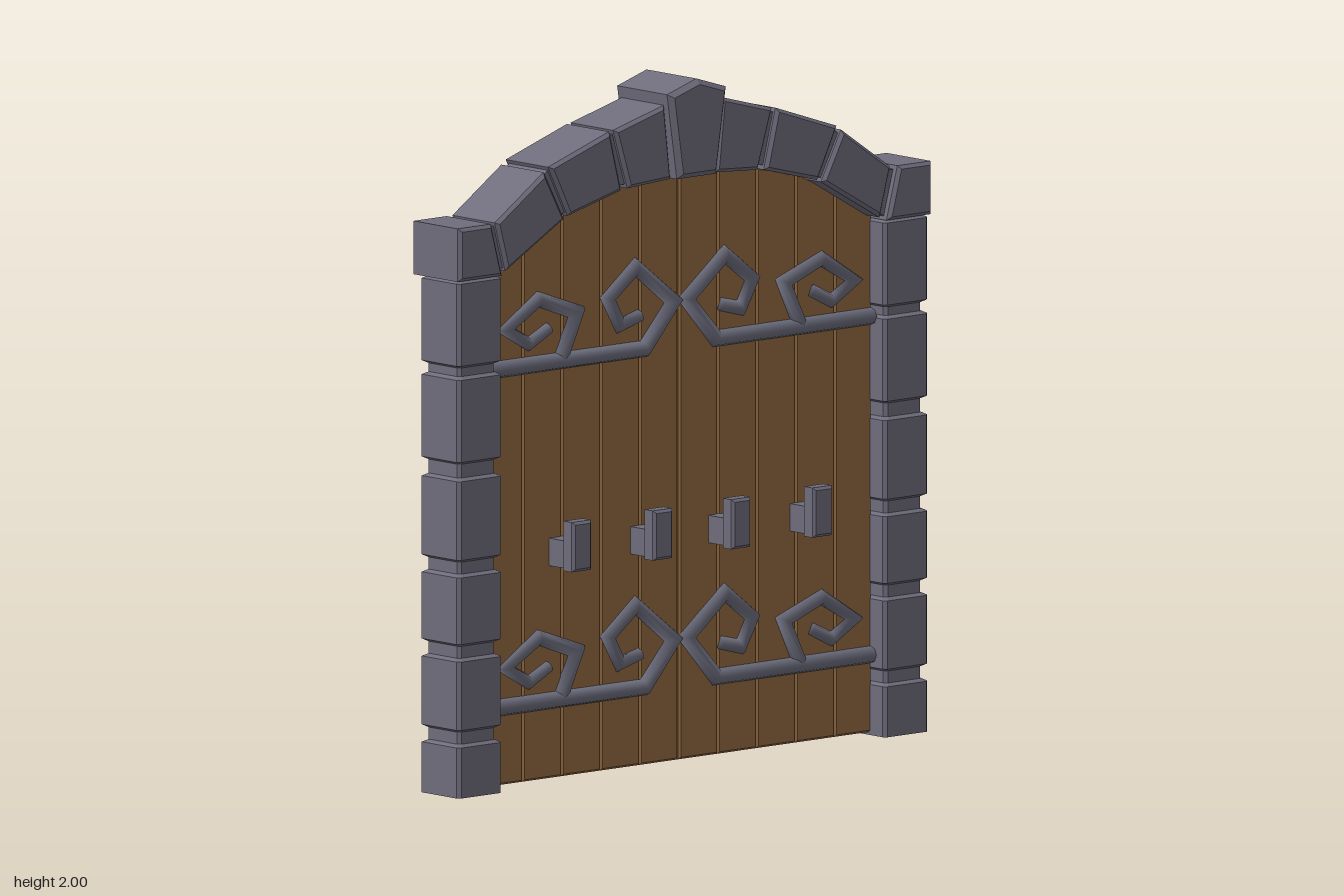
import * as THREE from 'three';

const stone = new THREE.MeshStandardMaterial({ color: 0x6f6c7c, flatShading: true, side: THREE.DoubleSide });
stone.name = 'grey stone';
const wood = new THREE.MeshStandardMaterial({ color: 0x916840, flatShading: true, side: THREE.DoubleSide });
wood.name = 'brown wood';
const iron = new THREE.MeshStandardMaterial({ color: 0x6c6d7d, side: THREE.DoubleSide });
iron.name = 'grey iron';

// Skin a surface over rings of [x, y, z] points; caps are fans.
function loft(rings, { closed = true, capStart = false, capEnd = false } = {}) {
  const n = rings[0].length, index = [];
  for (let r = 0; r < rings.length - 1; r++) {
    for (let i = 0; i < (closed ? n : n - 1); i++) {
      const a = r * n + i, b = r * n + (i + 1) % n;
      index.push(a, b, b + n, a, b + n, a + n);
    }
  }
  const last = (rings.length - 1) * n;
  for (let i = 1; i < n - 1; i++) {
    if (capStart) index.push(0, i + 1, i);
    if (capEnd) index.push(last, last + i, last + i + 1);
  }
  const g = new THREE.BufferGeometry();
  g.setAttribute('position', new THREE.Float32BufferAttribute(rings.flat(2), 3));
  g.setIndex(index);
  g.computeVertexNormals();
  return g;
}

// Shrink a convex counter-clockwise outline by d.
function inset(pts, d) {
  const normal = (a, b) => {
    const l = Math.hypot(b[0] - a[0], b[1] - a[1]);
    return [-(b[1] - a[1]) / l, (b[0] - a[0]) / l];
  };
  return pts.map((p, i) => {
    const m = normal(pts[(i + pts.length - 1) % pts.length], p);
    const n = normal(p, pts[(i + 1) % pts.length]);
    const k = d / (1 + m[0] * n[0] + m[1] * n[1]);
    return [p[0] + (m[0] + n[0]) * k, p[1] + (m[1] + n[1]) * k];
  });
}

// Block with a bevelled front face, open at the back unless told otherwise.
function block(pts, zBack, zFront, bevel, capStart = false) {
  const at = (outline, z) => outline.map(([x, y]) => [x, y, z]);
  return loft([at(pts, zBack), at(pts, zFront - bevel), at(inset(pts, bevel), zFront)], { capStart, capEnd: true });
}

const rect = (x0, x1, y0, y1) => [[x0, y0], [x1, y0], [x1, y1], [x0, y1]];

// Mitred bar following a polyline, tapering towards its tip.
function scrollBar(path, r0, r1, z) {
  const sides = 8, rings = [];
  path.forEach((p, i) => {
    const a = path[Math.max(i - 1, 0)], b = path[Math.min(i + 1, path.length - 1)];
    const dir = (u, v) => new THREE.Vector2(v[0] - u[0], v[1] - u[1]).normalize();
    const d0 = i ? dir(a, p) : dir(p, b), d1 = i < path.length - 1 ? dir(p, b) : d0;
    const m = new THREE.Vector2(-d0.y - d1.y, d0.x + d1.x).normalize();
    const miter = Math.min(1 / Math.max(m.dot(new THREE.Vector2(-d0.y, d0.x)), 0.3), 1.7);
    const r = THREE.MathUtils.lerp(r0, r1, i / (path.length - 1));
    rings.push(Array.from({ length: sides }, (_, k) => {
      const t = (k / sides) * Math.PI * 2;
      return [p[0] + m.x * r * miter * Math.cos(t), p[1] + m.y * r * miter * Math.cos(t), z - r * Math.sin(t)];
    }));
  });
  return loft(rings, { capStart: true, capEnd: true });
}

function add(parent, name, geometry, material) {
  const mesh = new THREE.Mesh(geometry, material);
  mesh.name = name;
  parent.add(mesh);
  return mesh;
}

function buildHalf() {
  const half = new THREE.Group();

  // Pillar: stacked stones with recessed joints, hollow at the back
  const section = (y, d) => [
    [0.905 - d, y, -0.08 + d], [0.905 - d, y, 0.07 - d], [0.895 - d, y, 0.08 - d],
    [0.745 + d, y, 0.08 - d], [0.735 + d, y, 0.07 - d], [0.735 + d, y, -0.08 + d],
  ];
  const courses = [[0, 0.155], [0.19, 0.405], [0.44, 0.65], [0.685, 0.93], [0.97, 1.225], [1.25, 1.505]];
  const rings = courses.flatMap(([y0, y1]) => [
    section(y0, 0.014), section(y0 + 0.008, 0), section(y1 - 0.008, 0), section(y1, 0.014),
  ]);
  rings[0] = section(0, 0);
  add(half, 'pillar', loft(rings, { closed: false, capStart: true, capEnd: true }), stone);

  // Arch stones, counter-clockwise: inner near, inner far, outer far, outer near
  const arch = [
    [[0.085, 1.715], [0.25, 1.705], [0.305, 1.88], [0.11, 1.932]],
    [[0.275, 1.702], [0.48, 1.65], [0.555, 1.8], [0.32, 1.878]],
    [[0.495, 1.643], [0.72, 1.515], [0.76, 1.66], [0.572, 1.787]],
    [[0.74, 1.505], [0.91, 1.505], [0.91, 1.66], [0.782, 1.66]],
  ];
  arch.forEach((pts, i) => {
    add(half, i === 3 ? 'pillarCap' : 'archStone', block(pts, -0.11, i === 3 ? 0.09 : 0.082, 0.01), stone);
    if (i === 3) return;
    const next = arch[i + 1];
    const mix = (p, q, t) => [p[0] + (q[0] - p[0]) * t, p[1] + (q[1] - p[1]) * t];
    const joint = [
      mix(pts[1], pts[2], 0.07), mix(next[0], next[3], 0.07),
      mix(next[3], next[0], 0.07), mix(pts[2], pts[1], 0.07),
    ];
    add(half, 'archJoint', block(joint, -0.1, 0.066, 0.001), stone);
  });

  // Door leaf: shallow front planks inside a deeper rim
  const xs = [0.001, 0.15, 0.3, 0.45, 0.6, 0.742];
  const tops = [1.714, 1.71, 1.7, 1.668, 1.6, 1.515];
  for (let i = 0; i < 5; i++) {
    const pts = [[xs[i], 0.008], [xs[i + 1], 0.008], [xs[i + 1], tops[i + 1]], [xs[i], tops[i]]];
    add(half, 'plank', block(pts, -0.015, 0.015, 0.006), wood);
  }
  const rim = [[xs[0], 0.008], [xs[5], 0.008], ...xs.map((x, i) => [x, tops[i]]).reverse()];
  const rimAt = z => rim.map(([x, y]) => [x, y, z]);
  add(half, 'leafRim', loft([rimAt(-0.07), rimAt(0.005)]), wood);

  // Hinge straps ending in angular scrolls
  const large = [[0.737, 1.22], [0.138, 1.22], [0.025, 1.347], [0.172, 1.462], [0.278, 1.38], [0.232, 1.298], [0.155, 1.318]];
  const small = [[0.46, 1.225], [0.398, 1.355], [0.545, 1.408], [0.67, 1.332], [0.582, 1.282], [0.505, 1.32]];
  for (const drop of [0, 0.985]) {
    add(half, 'hingeStrap', scrollBar(large, 0.025, 0.019, 0.018), iron).position.y = -drop;
    add(half, 'hingeScroll', scrollBar(small, 0.023, 0.018, 0.018), iron).position.y = -drop;
  }
  return half;
}

// Handle: upright grip on a short stem
function buildHandle(x) {
  const handle = new THREE.Group();
  handle.name = 'handle';
  add(handle, 'grip', block(rect(x - 0.037, x + 0.037, 0.62, 0.765), 0.08, 0.123, 0.008, true), stone);
  const stem = add(handle, 'stem', new THREE.BoxGeometry(0.068, 0.08, 0.09), stone);
  stem.position.set(x, 0.667, 0.04);
  return handle;
}

export function createModel() {
  const gate = new THREE.Group();
  gate.name = 'gate';

  const left = buildHalf();
  left.name = 'leftHalf';
  const right = buildHalf();
  right.name = 'rightHalf';
  right.scale.x = -1;
  gate.add(left, right);

  for (const x of [-0.465, -0.153, 0.148, 0.461]) gate.add(buildHandle(x));

  // Keystone with a peaked top
  const key = [[-0.075, 1.715], [0.075, 1.715], [0.113, 1.965], [0, 2], [-0.113, 1.965]];
  add(gate, 'keystone', block(key, -0.125, 0.105, 0.015), stone);

  return gate;
}
